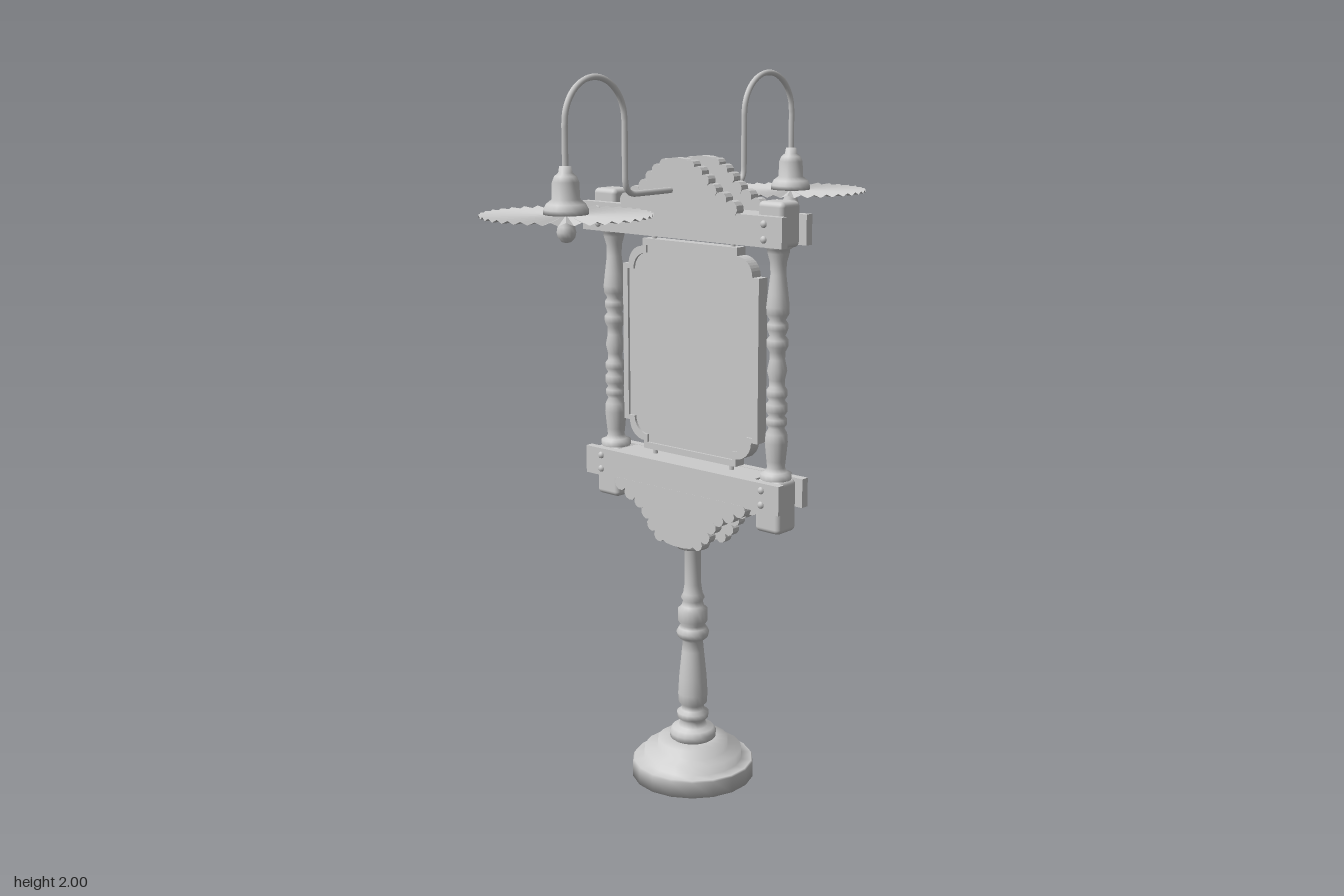
import * as THREE from 'three';
import { RoundedBoxGeometry } from 'three/addons/geometries/RoundedBoxGeometry.js';

const grey = new THREE.MeshStandardMaterial({ color: 0xcccccc });
const thin = new THREE.MeshStandardMaterial({ color: 0xcccccc, side: THREE.DoubleSide, flatShading: true });

function add(parent, name, geometry, x = 0, y = 0, z = 0, material = grey) {
  const mesh = new THREE.Mesh(geometry, material);
  mesh.name = name;
  mesh.position.set(x, y, z);
  parent.add(mesh);
  return mesh;
}

// Turned part from [radius, height] pairs, bottom to top
const turned = (profile, sides = 18) =>
  new THREE.LatheGeometry(profile.map(([r, y]) => new THREE.Vector2(r, y)), sides);

const extrude = (shape, depth) =>
  new THREE.ExtrudeGeometry(shape, { depth, bevelEnabled: false, curveSegments: 5 });

// Mirrored board with a row of round lobes along its edge
function scallopedBoard(half, depth) {
  const pts = [...half, ...half.slice().reverse().map(([x, y]) => [-x, y])];
  const shape = new THREE.Shape();
  shape.moveTo(...pts[0]);
  const turn = half[0][1] < half[half.length - 1][1] ? 1 : -1;
  for (let i = 1; i < pts.length; i++) {
    const [ax, ay] = pts[i - 1], [bx, by] = pts[i];
    const k = (i === half.length ? 0.12 : 0.65) * turn;
    const ox = (by - ay) * k, oy = (ax - bx) * k;
    shape.bezierCurveTo(ax + ox, ay + oy, bx + ox, by + oy, bx, by);
  }
  return extrude(shape, depth);
}

// Plaque outline with stepped, rounded corners
function plaque(w, h, c) {
  const s = 0.022, r = c - s;
  const shape = new THREE.Shape();
  const corners = [[1, 1, 0], [-1, 1, 1], [-1, -1, 2], [1, -1, 3]];
  corners.forEach(([sx, sy, q], i) => {
    const cx = sx * (w - c), cy = sy * (h - c);
    const side = [[sx * w, cy], [sx * (w - s), cy]];
    const end = [[cx, sy * (h - s)], [cx, sy * h]];
    const [start, finish] = q % 2 ? [end.slice().reverse(), side.slice().reverse()] : [side, end];
    if (i === 0) shape.moveTo(...start[0]); else shape.lineTo(...start[0]);
    shape.lineTo(...start[1]);
    shape.absarc(cx, cy, r, q * Math.PI / 2, (q + 1) * Math.PI / 2, false);
    shape.lineTo(...finish[1]);
  });
  shape.closePath();
  return shape;
}

function makeLamp() {
  const lamp = new THREE.Group();
  lamp.name = 'lamp';
  // Gooseneck arm
  const path = new THREE.CurvePath();
  const v = (y, z) => new THREE.Vector3(0, y, z);
  path.add(new THREE.LineCurve3(v(1.693, 0.04), v(1.693, 0.205)));
  path.add(new THREE.QuadraticBezierCurve3(v(1.693, 0.205), v(1.693, 0.243), v(1.735, 0.243)));
  path.add(new THREE.LineCurve3(v(1.735, 0.243), v(1.88, 0.243)));
  const arc = [];
  for (let i = 0; i <= 12; i++) {
    const a = Math.PI * (1 - i / 12);
    arc.push(v(1.88 + 0.112 * Math.sin(a), 0.351 + 0.108 * Math.cos(a)));
  }
  path.add(new THREE.CatmullRomCurve3(arc));
  path.add(new THREE.LineCurve3(v(1.88, 0.459), v(1.76, 0.459)));
  add(lamp, 'arm', new THREE.TubeGeometry(path, 90, 0.008, 8));
  add(lamp, 'socket', turned([
    [0, 1.658], [0.057, 1.66], [0.057, 1.672], [0.05, 1.686], [0.036, 1.697], [0.034, 1.74],
    [0.028, 1.754], [0.018, 1.762], [0.015, 1.778], [0, 1.78]]), 0, 0, 0.459);
  add(lamp, 'bulb', turned([
    [0, 1.588], [0.012, 1.591], [0.022, 1.602], [0.025, 1.615], [0.022, 1.629],
    [0.016, 1.642], [0.015, 1.66]], 14), 0, 0, 0.459);
  // Pleated flat shade
  const R = 0.217, pleats = 36;
  const ring = new THREE.RingGeometry(0.015, R, pleats * 2, 1);
  const p = ring.attributes.position;
  for (let i = 0; i < p.count; i++) {
    const r = Math.hypot(p.getX(i), p.getY(i));
    p.setZ(i, (i % (pleats * 2 + 1)) % 2 ? 0.004 * r / R : -0.004 * r / R);
  }
  ring.rotateX(-Math.PI / 2);
  const shade = ring.toNonIndexed();
  shade.computeVertexNormals();
  add(lamp, 'pleatedShade', shade, 0, 1.658, 0.459, thin);
  return lamp;
}

export function createModel() {
  const model = new THREE.Group();
  model.name = 'signPost';

  // Stepped base
  add(model, 'base', turned([
    [0, 0], [0.176, 0], [0.176, 0.046], [0.172, 0.051], [0.142, 0.052], [0.142, 0.08],
    [0.102, 0.082], [0.102, 0.11], [0.06, 0.112], [0, 0.112]]));
  // Turned column
  add(model, 'column', turned([
    [0.055, 0.108], [0.066, 0.116], [0.068, 0.132], [0.06, 0.145], [0.042, 0.15], [0.034, 0.165],
    [0.045, 0.176], [0.046, 0.192], [0.034, 0.2], [0.032, 0.214], [0.041, 0.222], [0.043, 0.25],
    [0.04, 0.3], [0.032, 0.38], [0.029, 0.41], [0.043, 0.422], [0.047, 0.437], [0.04, 0.45],
    [0.034, 0.458], [0.043, 0.472], [0.043, 0.505], [0.032, 0.515], [0.028, 0.53], [0.034, 0.54],
    [0.028, 0.552], [0.024, 0.58], [0.024, 0.685], [0.045, 0.69], [0.05, 0.702], [0.05, 0.715],
    [0.038, 0.72], [0.038, 0.88], [0, 0.88]]));

  // Rails: paired planks with a filler between, bolted to the posts
  for (const [name, y] of [['lowerRail', 0.9], ['upperRail', 1.605]]) {
    const rail = new THREE.Group();
    rail.name = name;
    model.add(rail);
    add(rail, 'filler', new THREE.BoxGeometry(0.5, 0.078, 0.082), 0, y);
    for (const s of [-1, 1]) {
      add(rail, 'plank', new THREE.BoxGeometry(0.704, 0.08, 0.024), 0, y, s * 0.052);
      for (const x of [-0.293, 0.293]) for (const dy of [-0.02, 0.02]) {
        const bolt = add(rail, 'bolt', new THREE.SphereGeometry(0.01, 10, 6), x, y + dy, s * 0.064);
        bolt.scale.z = 0.7;
      }
    }
  }

  // Scalloped crest and apron boards, front and back
  const crest = scallopedBoard([[0.2, 1.64], [0.17, 1.672], [0.132, 1.685], [0.105, 1.712],
    [0.088, 1.738], [0.055, 1.748], [0.038, 1.772]], 0.028);
  const apron = scallopedBoard([[0.235, 0.865], [0.2, 0.838], [0.162, 0.818], [0.128, 0.8],
    [0.108, 0.766], [0.085, 0.735], [0.056, 0.713]], 0.026);
  for (const z of [0.038, -0.066]) add(model, 'crest', crest, 0, 0, z);
  for (const z of [0.0385, -0.0645]) add(model, 'apron', apron, 0, 0, z);

  // Side posts: turned spindle between rounded blocks
  const spindle = turned([
    [0.042, 0.94], [0.043, 0.956], [0.03, 0.96], [0.024, 0.972], [0.026, 0.99], [0.031, 1.04],
    [0.029, 1.065], [0.021, 1.08], [0.028, 1.09], [0.028, 1.105], [0.021, 1.113], [0.029, 1.125],
    [0.029, 1.145], [0.021, 1.155], [0.028, 1.167], [0.028, 1.183], [0.021, 1.193], [0.021, 1.21],
    [0.027, 1.235], [0.021, 1.265], [0.021, 1.285], [0.029, 1.3], [0.029, 1.318], [0.021, 1.328],
    [0.028, 1.345], [0.028, 1.36], [0.021, 1.37], [0.03, 1.385], [0.031, 1.405], [0.027, 1.44],
    [0.021, 1.49], [0.022, 1.52], [0.029, 1.545], [0.03, 1.555], [0.038, 1.56], [0.038, 1.575]], 16);
  const lowerBlock = new RoundedBoxGeometry(0.084, 0.145, 0.079, 3, 0.014);
  const upperBlock = new RoundedBoxGeometry(0.084, 0.12, 0.079, 3, 0.014);
  for (const s of [-1, 1]) {
    const post = new THREE.Group();
    post.name = s > 0 ? 'leftPost' : 'rightPost';
    post.position.x = s * 0.293;
    model.add(post);
    add(post, 'spindle', spindle);
    add(post, 'lowerBlock', lowerBlock, 0, 0.8675);
    add(post, 'upperBlock', upperBlock, 0, 1.62);
  }

  // Hanging sign: panel with raised rim, on four pins
  const sign = new THREE.Group();
  sign.name = 'sign';
  sign.position.y = 1.252;
  model.add(sign);
  const rim = plaque(0.243, 0.298, 0.075);
  rim.holes.push(new THREE.Path(plaque(0.225, 0.28, 0.07).getPoints(5).reverse()));
  add(sign, 'rim', extrude(rim, 0.036), 0, 0, -0.018);
  add(sign, 'panel', extrude(plaque(0.235, 0.29, 0.073), 0.022), 0, 0, -0.011);
  for (const x of [-0.14, 0.14]) for (const s of [-1, 1])
    add(sign, 'pin', new THREE.CylinderGeometry(0.007, 0.007, 0.04, 8), x, s * 0.305);

  // Two gooseneck lamps, front and back
  for (const s of [1, -1]) {
    const lamp = makeLamp();
    lamp.position.x = -0.021;
    if (s < 0) lamp.rotation.y = Math.PI;
    model.add(lamp);
  }
  return model;
}
